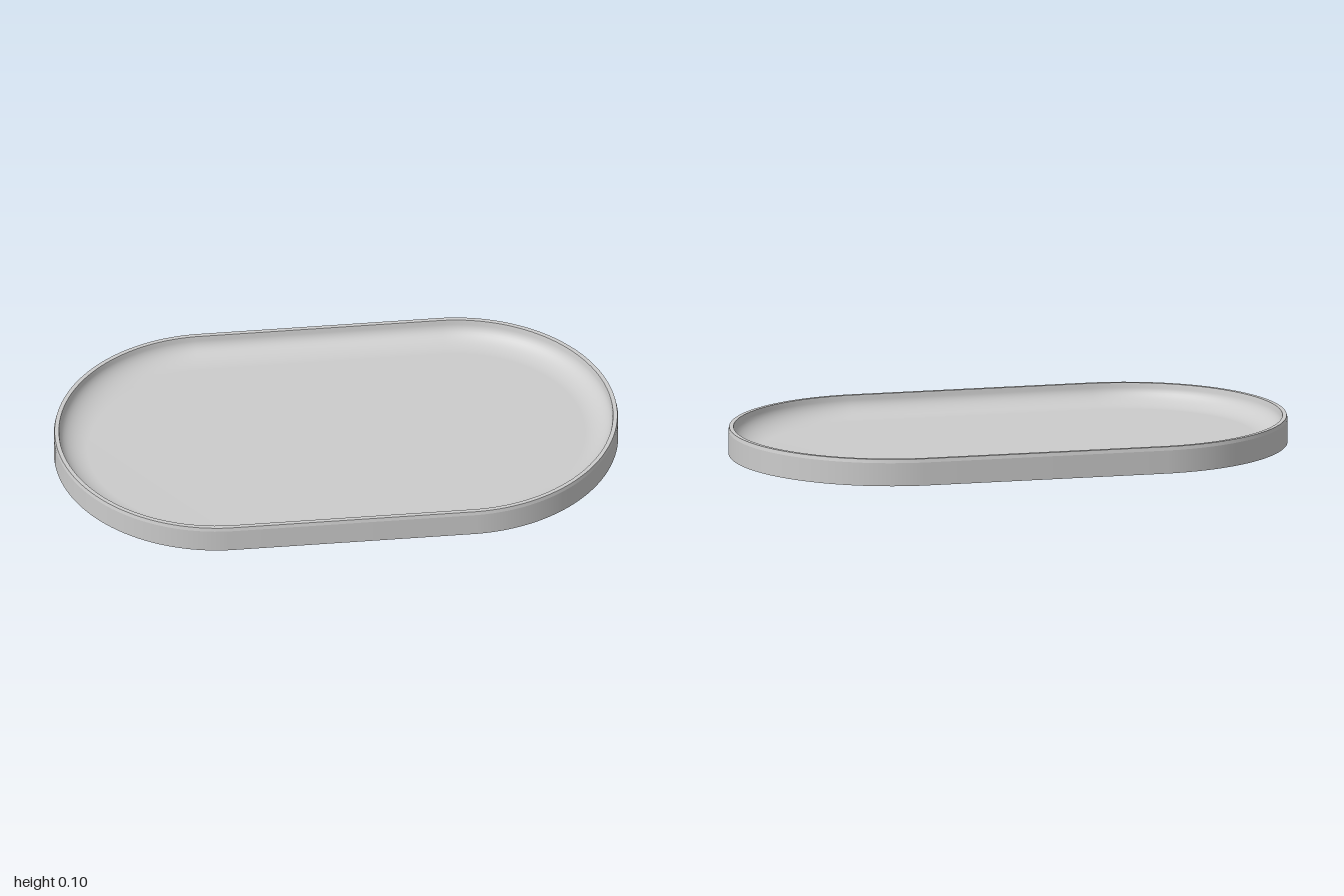
import * as THREE from 'three';

const HALF_STRAIGHT = 0.425; // half length of the straight sides
const R = 0.575;             // outer radius of the rounded ends
const SEGMENTS = 128;

// Revolves a profile, then pulls its two halves apart into a stadium shape.
function stadiumLathe(points) {
  const step = (Math.PI * 2) / SEGMENTS;
  const geo = new THREE.LatheGeometry(points, SEGMENTS, step / 2, Math.PI * 2);
  const pos = geo.attributes.position;
  const uv = geo.attributes.uv;
  for (let i = 0; i < pos.count; i++) {
    const side = Math.sin(step / 2 + uv.getX(i) * Math.PI * 2) > 0 ? 1 : -1;
    pos.setX(i, pos.getX(i) + side * HALF_STRAIGHT);
  }
  return geo;
}

export function createModel() {
  const group = new THREE.Group();
  group.name = 'ovalTray';
  const material = new THREE.MeshStandardMaterial({ color: 0xcccccc });

  const profile = [];
  const add = (r, y) => profile.push(new THREE.Vector2(r, y));
  // A doubled point keeps its edge sharp
  const sharp = (r, y) => { add(r, y); add(r, y); };

  // Underside with a very shallow recessed panel
  add(0, 0.002);
  sharp(0.373, 0.002);
  sharp(0.375, 0);
  sharp(R, 0);

  // Outer wall and narrow rim
  sharp(R, 0.083);
  sharp(R - 0.003, 0.096);
  sharp(R - 0.018, 0.096);
  add(R - 0.02, 0.087);

  // Cove sweeping from the inner wall down to the floor
  const coveWidth = 0.1, coveHeight = 0.065, floorY = 0.022;
  for (let i = 1; i <= 12; i++) {
    const a = (i / 12) * Math.PI / 2;
    add(R - 0.02 - coveWidth * (1 - Math.cos(a)), floorY + coveHeight * (1 - Math.sin(a)));
  }
  add(0, floorY);

  const tray = new THREE.Mesh(stadiumLathe(profile), material);
  tray.name = 'tray';
  group.add(tray);
  return group;
}
